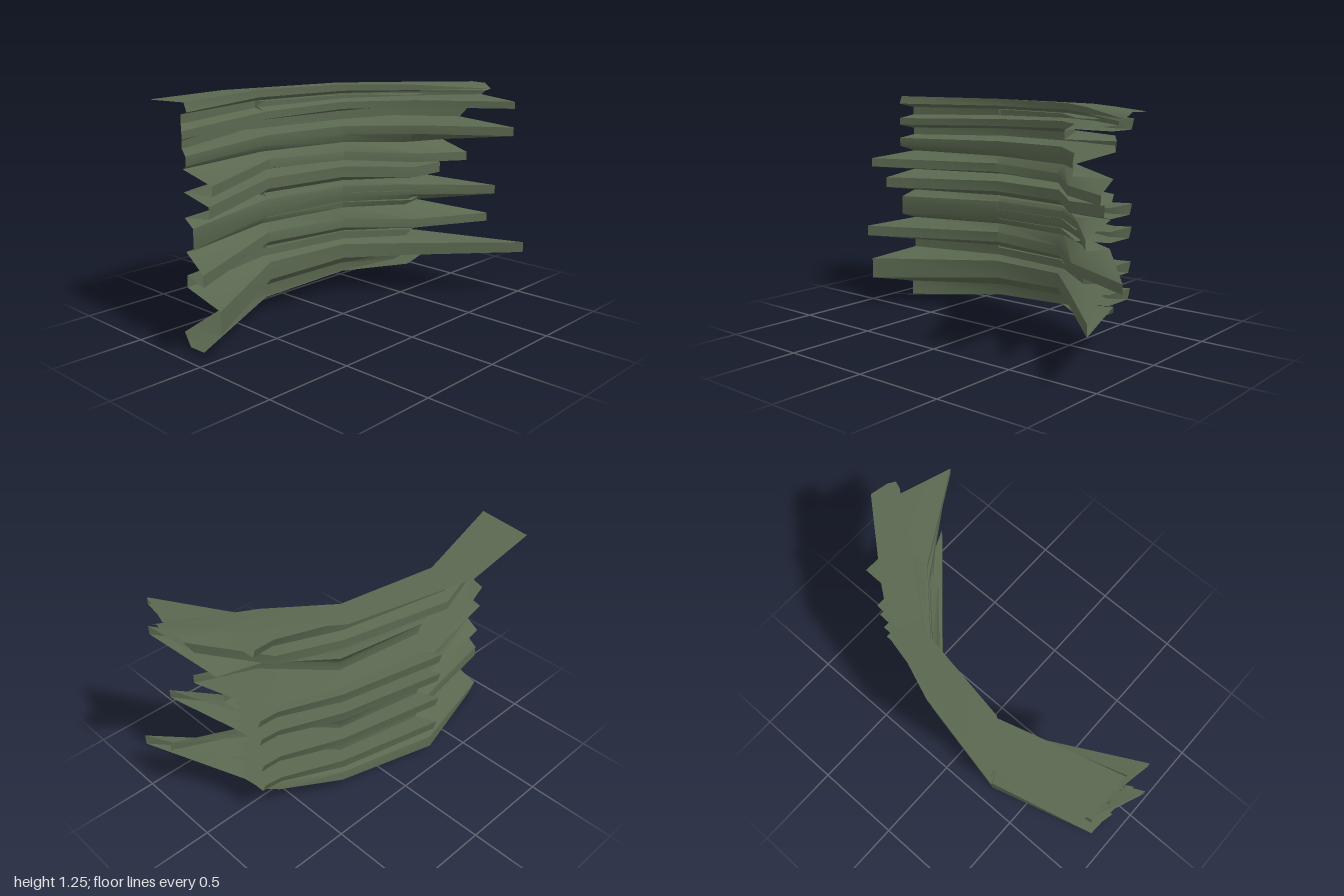
import * as THREE from 'three';
import { toCreasedNormals } from 'three/addons/utils/BufferGeometryUtils.js';

const lerp = THREE.MathUtils.lerp;

// Edge: front x, y, z | how far inward at the waist (0 outer, 1 inner) | back x, y, z
const bottomLip = [
  [-0.07, 0.03, 0.92, 0.7, 0, 0.2, -0.72],
  [-0.23, 0, 0.88, 0.1, -0.1, 0.19, -0.7],
  [-0.25, 0.085, 0.9, 0.15, -0.1, 0.22, -0.7],
];
const topSlab = [
  [-0.16, 1.21, 0.9, 0.6, 0.27, 1.2, -0.97],
  [-0.18, 1.255, 0.9, 0.6, 0.22, 1.23, -0.98],
  [-0.49, 1.24, 0.88, -1.1, 0.12, 1.23, -1],
];
const topValleyDepth = 0.4;

// Inner crests, each a flat band ending in a spike:
// front x, low y, high y, z | inwardness | back x, low y, high y, z | inwardness of the valley below
const crests = [
  [0.07, 0.16, 0.28, 0.92, 0.95, 0.54, 0.26, 0.32, -0.97, 0],
  [0.04, 0.41, 0.47, 0.99, 0.9, 0.27, 0.4, 0.45, -0.98, 0.6],
  [-0.16, 0.53, 0.64, 0.89, 0.75, 0.4, 0.61, 0.66, -0.86, 0.55],
  [-0.03, 0.71, 0.77, 0.89, 0.95, 0.08, 0.71, 0.77, -0.75, 0.5],
  [0.05, 0.84, 0.89, 0.93, 1, 0.22, 0.79, 0.84, -0.82, -0.1],
  [-0.17, 0.95, 1.0, 0.91, 0.85, 0.51, 0.96, 1.01, -0.86, 0.65],
  [-0.18, 1.08, 1.12, 0.92, 0.85, 0.53, 1.12, 1.16, -0.83, -0.15],
];

// Valley edges halfway between two crests; a wide gap gets a flat valley floor
function valley([, yFa, , , , yBa], [, yFb, , , , yBb], k) {
  const steps = yFb - yFa > 0.075 ? [0.25, 0.75] : [0.5];
  return steps.map((t) => {
    const yB = lerp(yBa, yBb, t);
    const reach = yB ** 3;
    return [-0.25, lerp(yFa, yFb, t), 0.87, k, -0.08 + 0.2 * reach, yB, -0.68 - 0.15 * reach];
  });
}

// All pleat edges of the sheet from bottom to top
function pleatEdges() {
  const edges = [...bottomLip];
  crests.forEach(([xF, yF0, yF1, zF, k, xB, yB0, yB1, zB, kValley], i) => {
    const low = [xF, yF0, zF, k, xB, yB0, zB];
    const high = [xF, yF1, zF, k, xB, yB1, zB];
    if (i > 0) edges.push(...valley(edges[edges.length - 1], low, kValley));
    edges.push(low, high);
  });
  edges.push(...valley(edges[edges.length - 1], topSlab[0], topValleyDepth), ...topSlab);
  return edges;
}

// Five points along one pleat edge, following the bend from front to back
function edgePoints([xF, yF, zF, k, xB, yB, zB]) {
  const kBack = Math.max(k, -0.1);
  const y = (t) => lerp(yF, yB, t);
  return [
    [xF, yF, zF],
    [lerp(-0.43, -0.31, k), y(0.3), lerp(0.3, 0.25, k)],
    [lerp(-0.31, -0.23, k), y(0.6), lerp(-0.3, -0.25, k)],
    [lerp(-0.17, 0.08, kBack), y(0.8), lerp(-0.62, -0.53, kBack)],
    [xB, yB, zB],
  ];
}

// Surface spanned between neighbouring edges
function loft(edges) {
  const n = edges[0].length;
  const index = [];
  for (let r = 0; r < edges.length - 1; r++) {
    for (let s = 0; s < n - 1; s++) {
      const a = r * n + s, b = a + 1, c = a + n, d = c + 1;
      index.push(a, b, c, b, d, c);
    }
  }
  const geometry = new THREE.BufferGeometry();
  geometry.setAttribute('position', new THREE.Float32BufferAttribute(edges.flat(2), 3));
  geometry.setIndex(index);
  return toCreasedNormals(geometry, 0.8);
}

// Hollow ridge on the outer side, starting at the bend with a closed nose
function ridgeEdges(yFront, yBack) {
  const h = 0.028;
  return [[0.8, -h], [0, -h], [-0.1, h], [0.8, h]].map(([k, dy]) => {
    const pts = edgePoints([0, yFront + dy, 0.9, k, lerp(-0.17, 0.05, k), yBack + dy, -0.74]);
    pts[0] = [-0.37, lerp(yFront, yBack, 0.3), 0.28];
    return pts;
  });
}

export function createModel() {
  const group = new THREE.Group();
  group.name = 'pleatedWall';
  const mossGreen = new THREE.MeshStandardMaterial({ color: 0x5a6850, side: THREE.DoubleSide });
  mossGreen.name = 'mossGreen';

  const add = (name, edges) => {
    const mesh = new THREE.Mesh(loft(edges), mossGreen);
    mesh.name = name;
    group.add(mesh);
  };

  // Main curved, pleated sheet
  add('pleatedSheet', pleatEdges().map(edgePoints));

  // Outer ridges along the back half
  [[0.2, 0.28], [0.39, 0.42], [0.56, 0.6], [0.69, 0.72], [1.165, 1.15]]
    .forEach(([f, b], i) => add(`outerRidge${i + 1}`, ridgeEdges(f, b)));

  return group;
}
